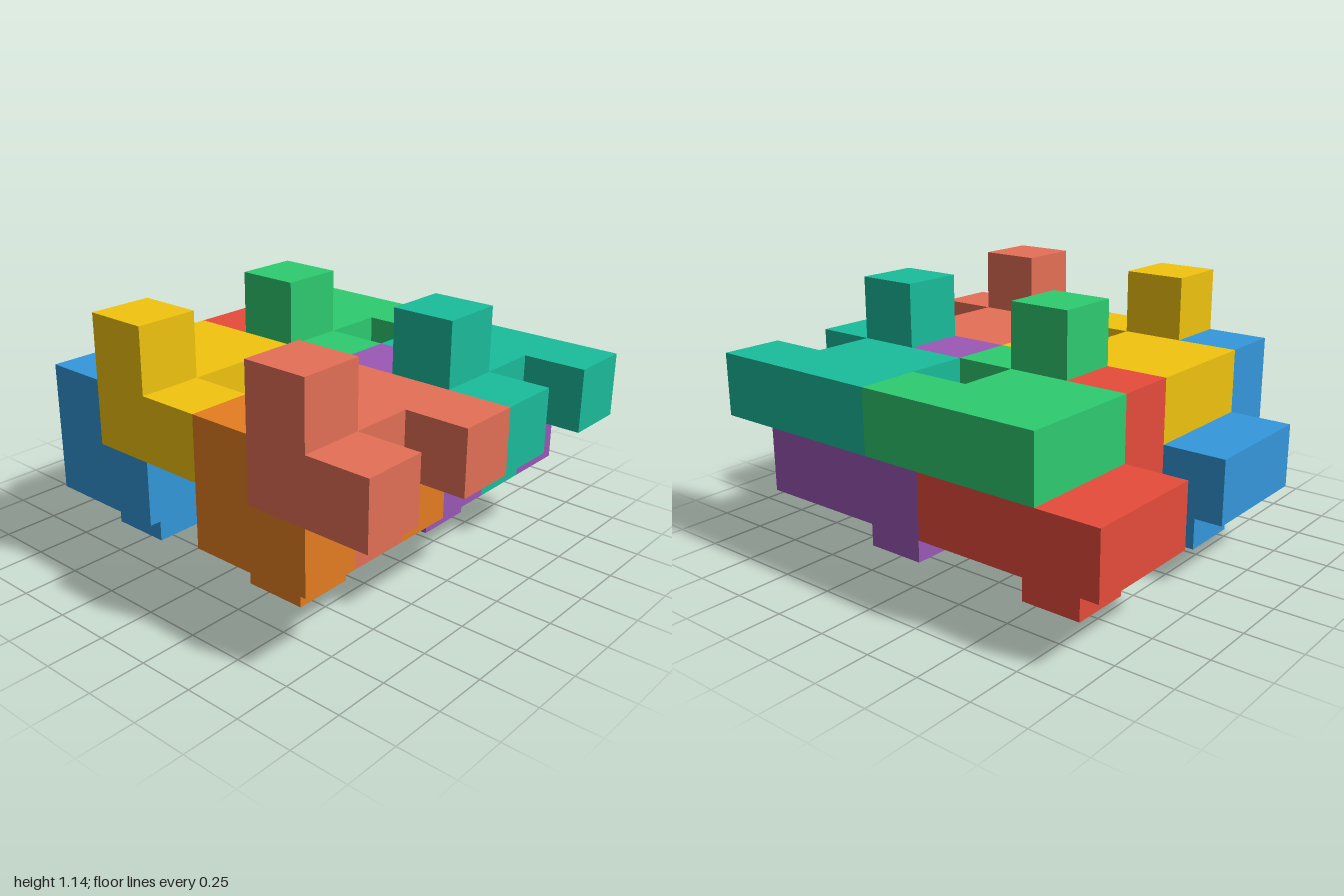
import * as THREE from 'three';

const U = 2 / 7; // edge of one cell

// Outline of the notched plate (x, z), in cells about its centre
const OUTLINE = [
  [-1.5, -1.5], [1.5, -1.5], [1.5, -0.5], [0.5, -0.5], [0.5, 0.5],
  [1.5, 0.5], [1.5, 1.5], [-0.5, 1.5], [-0.5, 0.5], [-1.5, 0.5],
];

function plateGeometry() {
  const shape = new THREE.Shape(OUTLINE.map(([x, z]) => new THREE.Vector2(x * U, -z * U)).reverse());
  const geo = new THREE.ExtrudeGeometry(shape, { depth: U, bevelEnabled: false });
  return geo.rotateX(-Math.PI / 2).translate(0, -U / 2, 0);
}

// One interlocking piece: plate, knob on top at the front, peg below the centre
function createPiece(name, color, plateGeo, cubeGeo) {
  const piece = new THREE.Group();
  piece.name = name;
  const material = new THREE.MeshStandardMaterial({ color });
  const add = (part, geo, y, z) => {
    const mesh = new THREE.Mesh(geo, material);
    mesh.name = part;
    mesh.position.set(0, y * U, z * U);
    piece.add(mesh);
  };
  add('plate', plateGeo, 0, 0);
  add('topKnob', cubeGeo, 1, 1);
  add('bottomPeg', cubeGeo, -1, 0);
  return piece;
}

export function createModel() {
  const model = new THREE.Group();
  model.name = 'interlockingBlocks';
  const plateGeo = plateGeometry();
  const cubeGeo = new THREE.BoxGeometry(U, U, U);

  // Column and layer of each piece, with its colour in the back and front row
  const slots = [
    { x: -2, layer: 1, back: ['redPiece', 0xe74c3c], front: ['bluePiece', 0x3498db] },
    { x: -1, layer: 2, back: ['greenPiece', 0x2ecc71], front: ['yellowPiece', 0xf1c40f] },
    { x: 1, layer: 1, back: ['purplePiece', 0x9b59b6], front: ['orangePiece', 0xe67e22] },
    { x: 2, layer: 2, back: ['tealPiece', 0x1abc9c], front: ['salmonPiece', 0xe57056] },
  ];
  for (const slot of slots) {
    for (const [row, z] of [['back', -1.5], ['front', 1.5]]) {
      const [name, color] = slot[row];
      const piece = createPiece(name, color, plateGeo, cubeGeo);
      piece.position.set(slot.x * U, (slot.layer + 0.5) * U, z * U);
      model.add(piece);
    }
  }
  return model;
}
